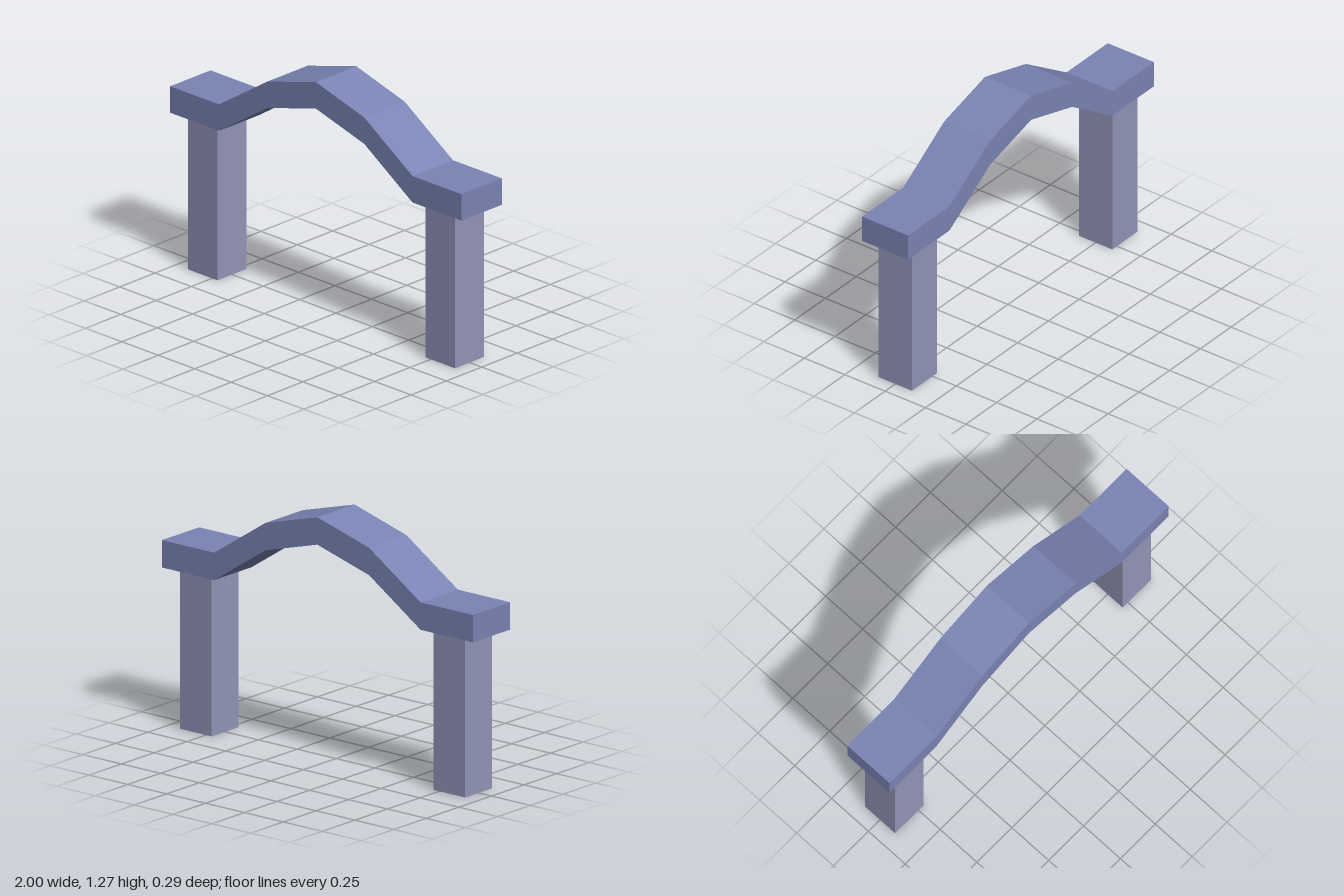
import * as THREE from 'three';

export function createModel() {
  const model = new THREE.Group();
  model.name = 'archway';
  const beamMaterial = new THREE.MeshStandardMaterial({ color: 0x7a84b4, flatShading: true });
  const postMaterial = new THREE.MeshStandardMaterial({ color: 0x9295b8, flatShading: true });

  // Arched beam: a bent line of constant vertical thickness, extruded in depth
  const thickness = 0.141, depth = 0.286;
  const half = [[0, 1.133], [0.333, 1.04], [0.664, 0.823], [1, 0.823]];
  const line = [...half.slice(1).reverse().map(([x, y]) => [-x, y]), ...half];
  const outline = [
    ...line.map(([x, y]) => new THREE.Vector2(x, y)),
    ...line.map(([x, y]) => new THREE.Vector2(x, y + thickness)).reverse(),
  ];
  const beamGeometry = new THREE.ExtrudeGeometry(new THREE.Shape(outline), { depth, bevelEnabled: false });
  beamGeometry.translate(0, 0, -depth / 2);
  const beam = new THREE.Mesh(beamGeometry, beamMaterial);
  beam.name = 'archedBeam';
  model.add(beam);

  // Square posts under the flat beam ends
  const postHeight = 0.823;
  const postGeometry = new THREE.BoxGeometry(0.204, postHeight, 0.206);
  for (const side of [1, -1]) {
    const post = new THREE.Mesh(postGeometry, postMaterial);
    post.name = side > 0 ? 'leftPost' : 'rightPost';
    post.position.set(side * 0.815, postHeight / 2, 0);
    model.add(post);
  }
  return model;
}
